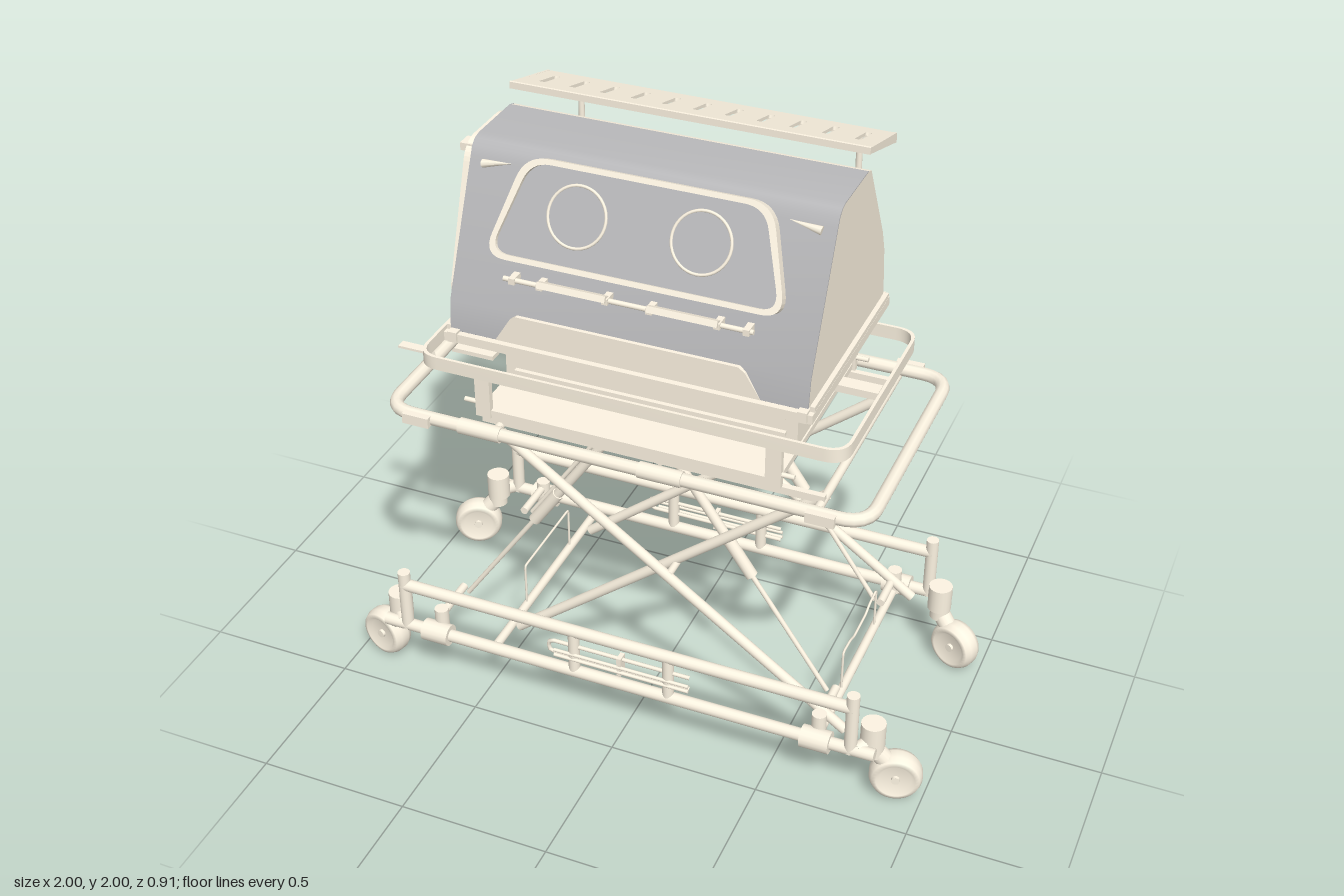
import * as THREE from 'three';
import { toCreasedNormals } from 'three/addons/utils/BufferGeometryUtils.js';

const V = (x, y, z) => new THREE.Vector3(x, y, z);
const paint = (c) => new THREE.MeshStandardMaterial({ color: c });

export function createModel() {
  const model = new THREE.Group();
  const cream = paint(0xfdf4e2), grey = paint(0xb8b8ba), dark = paint(0x9a978f);

  const add = (name, geo, mat = cream, parent = model) => {
    const m = new THREE.Mesh(geo, mat);
    m.name = name;
    parent.add(m);
    return m;
  };
  const box = (name, x, y, z, w, h, d, mat, parent) => {
    const m = add(name, new THREE.BoxGeometry(w, h, d), mat, parent);
    m.position.set(x, y, z);
    return m;
  };
  // straight bar between two points
  const rod = (name, a, b, r, mat, parent) => {
    const m = add(name, new THREE.CylinderGeometry(r, r, a.distanceTo(b), 16), mat, parent);
    m.position.copy(a).lerp(b, 0.5);
    m.quaternion.setFromUnitVectors(V(0, 1, 0), b.clone().sub(a).normalize());
    return m;
  };
  // bent tube through points, corners rounded by r
  const bent = (name, pts, rad, r, closed = false, seg = 60) => {
    const path = new THREE.CurvePath(), n = pts.length;
    const near = (p, q) => p.clone().add(q.clone().sub(p).setLength(r));
    let last = closed ? near(pts[0], pts[1]) : pts[0];
    for (let i = 1; i < (closed ? n + 1 : n - 1); i++) {
      const p = pts[i % n], a = near(p, pts[(i - 1) % n]), b = near(p, pts[(i + 1) % n]);
      path.add(new THREE.LineCurve3(last, a));
      path.add(new THREE.QuadraticBezierCurve3(a, p, b));
      last = b;
    }
    if (!closed) path.add(new THREE.LineCurve3(last, pts[n - 1]));
    return add(name, new THREE.TubeGeometry(path, seg, rad, 10, closed));
  };
  // polygon with rounded corners
  const rounded = (pts, r, Kind = THREE.Shape) => {
    const s = new Kind(), P = pts.map(([x, y]) => new THREE.Vector2(x, y)), n = P.length;
    P.forEach((p, i) => {
      const a = p.clone().add(P[(i + n - 1) % n].clone().sub(p).setLength(r));
      const b = p.clone().add(P[(i + 1) % n].clone().sub(p).setLength(r));
      i ? s.lineTo(a.x, a.y) : s.moveTo(a.x, a.y);
      s.quadraticCurveTo(p.x, p.y, b.x, b.y);
    });
    s.closePath();
    return s;
  };
  const rect = (w, h) => [[-w, -h], [w, -h], [w, h], [-w, h]];
  const slab = (shape, depth) => new THREE.ExtrudeGeometry(shape, { depth, bevelEnabled: false, curveSegments: 8 });
  // extrude a (z, y) profile along x, softening shallow edges
  const alongX = (pts, x0, x1) => toCreasedNormals(slab(new THREE.Shape(pts.map(([z, y]) => new THREE.Vector2(-z, y))), x1 - x0)
    .rotateY(Math.PI / 2).translate(x0, 0, 0), 0.6);

  // hood: solid body with grey window skin over front, top and one end
  const front = [[0.348, 1.378], [0.335, 1.475], [0.155, 1.873], [0.142, 1.9], [0.122, 1.917], [0.095, 1.923], [-0.11, 1.923]];
  const profile = [...front, [-0.135, 1.915], [-0.295, 1.63], [-0.322, 1.56], [-0.336, 1.48], [-0.345, 1.378]];
  add('hoodBody', alongX(profile, -0.575, 0.57), cream);
  const skin = front.map(([z, y]) => [z + 0.004, y + 0.003]);
  add('hoodWindow', alongX([...skin, ...front.slice().reverse()], -0.575, 0.57), grey);
  add('hoodEndWindow', alongX(profile, -0.58, -0.575), grey);

  // framed access doors
  const door = (name, pts, holes, r, depth) => {
    const g = new THREE.Group();
    g.name = name;
    const cy = pts.reduce((s, p) => s + p[1], 0) / pts.length;
    const inner = pts.map(([x, y]) => [x - Math.sign(x) * 0.02, y - Math.sign(y - cy) * 0.016]);
    const ring = rounded(pts, r);
    ring.holes.push(rounded(inner, r * 0.85, THREE.Path));
    add('doorFrame', slab(ring, depth), cream, g);
    add('doorPane', slab(rounded(inner, r * 0.85), depth * 0.6), grey, g);
    for (const [x, y] of holes) {
      add('portholeRim', new THREE.TorusGeometry(0.092, 0.005, 8, 40), cream, g).position.set(x, y, depth * 0.6 + 0.002);
      add('portholeCover', new THREE.CylinderGeometry(0.09, 0.09, 0.006, 40).rotateX(Math.PI / 2), grey, g).position.set(x, y, depth * 0.6);
    }
    model.add(g);
    return g;
  };
  const tilt = 0.431;
  const frontDoor = door('frontDoor', [[-0.475, -0.155], [0.475, -0.155], [0.385, 0.16], [-0.385, 0.16]],
    [[-0.2, 0.01], [0.19, 0.01]], 0.075, 0.034);
  frontDoor.position.set(0, 1.765, 0.215);
  frontDoor.rotation.x = -tilt;
  const endDoor = door('endDoor', [[-0.29, -0.225], [0.29, -0.225], [0.13, 0.23], [-0.13, 0.23]], [[0, 0]], 0.06, 0.03);
  endDoor.position.set(-0.578, 1.675, 0);
  endDoor.rotation.y = -Math.PI / 2;
  for (const y of [1.46, 1.88]) box('endDoorHinge', -0.605, y, 0.1, 0.05, 0.025, 0.05);

  // door catches
  rod('latchBar', V(-0.4, 1.585, 0.325), V(0.39, 1.585, 0.325), 0.008);
  for (const s of [-1, 1]) {
    box('latchPaddle', s * 0.175, 1.59, 0.328, 0.22, 0.02, 0.034).rotation.x = -tilt;
    for (const x of [0.07, 0.28, 0.37]) box('latchBlock', s * x, 1.585, 0.315, 0.02, 0.02, 0.045);
    const clip = add('cornerClip', new THREE.ConeGeometry(0.014, 0.1, 8), cream);
    clip.position.set(s * 0.48, 1.875, 0.175);
    clip.rotation.z = s * 1.4;
  }

  // front and back sills, tray
  const sill = (w, t, h) => slab(new THREE.Shape([[-w, 0], [w, 0], [t + 0.02, h - 0.015], [t, h], [-t, h], [-t - 0.02, h - 0.015]]
    .map(p => new THREE.Vector2(...p))), 0.04);
  add('frontSill', sill(0.425, 0.355, 0.095)).position.set(0, 1.38, 0.312);
  add('backSill', sill(0.17, 0.12, 0.095)).position.set(0, 1.38, -0.36);
  box('tray', 0, 1.364, 0.01, 1.18, 0.03, 0.72);
  for (const s of [-1, 1]) {
    box('traySideLip', s * 0.582, 1.386, 0.005, 0.015, 0.02, 0.69);
    for (const z of [0.36, -0.34]) box('trayClip', s * 0.56, 1.37, z, 0.03, 0.035, 0.035);
  }

  // rear roll with hanging straps
  rod('rearRoll', V(-0.38, 1.695, -0.283), V(0.38, 1.695, -0.283), 0.03);
  for (const s of [-1, 1]) bent('rearStrap', [V(s * 0.29, 1.69, -0.285), V(s * 0.29, 1.57, -0.34), V(s * 0.29, 1.39, -0.35)], 0.009, 0.04, false, 20);

  // slotted canopy with turned-down edges on two poles
  const canopy = new THREE.Shape([[-0.58, 0], [0.57, 0], [0.57, 0.264], [-0.58, 0.264]].map(p => new THREE.Vector2(...p)));
  for (let i = 0; i < 11; i++) {
    const x = -0.51 + i * 0.1015;
    canopy.holes.push(rounded([[x - 0.01, 0.075], [x + 0.01, 0.075], [x + 0.01, 0.195], [x - 0.01, 0.195]], 0.009, THREE.Path));
  }
  const roof = add('canopy', slab(canopy, 0.01).rotateX(-Math.PI / 2));
  roof.position.set(0, 1.985, -0.118);
  roof.rotation.x = -0.268;
  const flange = [[-0.118, 1.995], [-0.377, 1.925], [-0.377, 1.893], [-0.118, 1.975]].reverse();
  for (const x of [-0.58, 0.562]) add('canopySideLip', alongX(flange, x, x + 0.008));
  box('canopyFrontLip', -0.005, 1.985, -0.118, 1.15, 0.022, 0.008);
  box('canopyBackLip', -0.005, 1.908, -0.374, 1.15, 0.03, 0.008);
  for (const s of [-1, 1]) {
    rod('canopyPole', V(s * 0.46, 1.08, -0.367), V(s * 0.46, 1.91, -0.367), 0.01);
    for (const y of [1.14, 1.2, 1.26]) box('poleClamp', s * 0.46, y, -0.37, 0.03, 0.02, 0.03);
  }

  // pedestal under the hood
  box('pedestal', 0, 1.235, 0, 0.97, 0.24, 0.36);
  box('upperPedestal', 0, 1.32, 0, 1.0, 0.06, 0.36);
  box('deck', 0, 1.11, 0, 0.98, 0.022, 0.72);
  box('deckUnderside', 0, 1.095, 0, 0.94, 0.012, 0.66, dark);
  for (const y of [1.165, 1.225]) box('pedestalRib', 0, y, 0.185, 0.9, 0.012, 0.02);
  const band = rounded(rect(0.695, 0.36), 0.07);
  band.holes.push(rounded(rect(0.685, 0.35), 0.065, THREE.Path));
  add('bumperBand', toCreasedNormals(slab(band, 0.045).rotateX(-Math.PI / 2), 0.6)).position.set(0, 1.232, 0.01);
  for (const s of [-1, 1]) {
    for (const z of [-0.335, 0.355]) {
      box('bandPost', s * 0.475, 1.175, z, 0.05, 0.16, 0.02);
      rod('bandKnob', V(s * 0.475, 1.14, z), V(s * 0.54, 1.14, z), 0.008);
    }
    box('bandBracket', s * 0.58, 1.255, 0, 0.2, 0.025, 0.05);
  }

  // upper stretcher frame
  const corners = (x, y, z) => [V(-x, y, -z), V(x, y, -z), V(x, y, z), V(-x, y, z)];
  bent('upperFrame', corners(0.785, 1.08, 0.415), 0.022, 0.09, true, 200);
  for (const x of [-0.43, 0.62]) rod('legCrossTube', V(x, 1.06, -0.41), V(x, 1.06, 0.41), 0.014);
  for (const s of [-1, 1]) {
    for (const x of [-0.46, 0.14]) rod('upperCollar', V(x - 0.07, 1.08, s * 0.415), V(x + 0.07, 1.08, s * 0.415), 0.026);
    for (const x of [-0.67, 0.65]) box('sideStop', x, 1.08, s * 0.435, 0.09, 0.035, 0.03);
    box('slideRail', 0.07, 1.075, s * 0.335, 1.12, 0.025, 0.02);
  }
  box('sidePlate', -0.7, 1.06, -0.11, 0.15, 0.015, 0.24);
  box('controlBox', -0.46, 1.045, -0.11, 0.22, 0.02, 0.24);
  box('leverTop', -0.82, 1.143, 0.16, 0.11, 0.008, 0.032);
  box('leverArm', -0.762, 1.122, 0.16, 0.008, 0.05, 0.032).rotation.z = 0.25;
  box('leverFoot', -0.69, 1.1, 0.16, 0.13, 0.008, 0.032);

  // scissor legs and lift struts
  for (const s of [-1, 1]) {
    rod('outerLeg', V(-0.42, 1.045, s * 0.355), V(0.74, 0.22, s * 0.355), 0.017);
    rod('innerLeg', V(0.62, 1.055, s * 0.285), V(-0.43, 0.21, s * 0.285), 0.017);
    for (const m of [-1, 1]) {
      const top = V(m * 0.09, 1.06, s * 0.245), end = V(m * 0.64, 0.26, s * 0.245);
      rod('strutSleeve', top, top.clone().lerp(end, 0.52), 0.016);
      rod('strutCollar', top.clone().lerp(end, 0.36), top.clone().lerp(end, 0.52), 0.02);
      rod('strutRod', top, end, 0.008);
      rod('strutMount', V(m * 0.665, 0.265, s * 0.23), V(m * 0.665, 0.265, s * 0.4), 0.014);
    }
    rod('legPivot', V(0.14, 0.655, s * 0.285), V(0.14, 0.655, s * 0.355), 0.012);
  }
  for (const x of [-0.1, 0.1]) rod('strutCrossTube', V(x, 1.06, -0.33), V(x, 1.06, 0.33), 0.014);

  // lower base frame with guard rails and hose racks
  for (const s of [-1, 1]) {
    const z = s * 0.42;
    rod('baseRail', V(-0.86, 0.21, z), V(0.86, 0.21, z), 0.021);
    rod('guardRail', V(-0.785, 0.378, z), V(0.785, 0.378, z), 0.021);
    for (const m of [-1, 1]) {
      rod('cornerPost', V(m * 0.78, 0.2, z), V(m * 0.78, 0.43, z), 0.021);
      rod('guardPost', V(m * 0.165, 0.21, z), V(m * 0.165, 0.378, z), 0.019);
      rod('railCollar', V(m * 0.62, 0.21, z), V(m * 0.715, 0.21, z), 0.037);
      rod('collarBoss', V(m * 0.665, 0.2, s * 0.39), V(m * 0.665, 0.29, s * 0.39), 0.024);
    }
    for (const y of [0.29, 0.27]) rod('rackBar', V(-0.23, y, z + s * 0.015), V(0.24, y, z + s * 0.015), 0.006);
    bent('rackLoop', [V(0.24, 0.315, z), V(-0.255, 0.315, z), V(-0.255, 0.27, z), V(0.24, 0.27, z)], 0.007, 0.018);
    box('rackClip', 0, 0.292, z, 0.015, 0.07, 0.035);
  }
  for (const x of [-0.46, 0.665]) rod('baseCrossTube', V(x, 0.205, -0.41), V(x, 0.205, 0.41), 0.015);

  // bottle hoops
  bent('squareHoop', [V(-0.46, 0.205, -0.17), V(-0.46, 0.37, -0.17), V(-0.46, 0.37, 0.17), V(-0.46, 0.205, 0.17)], 0.004, 0.01);
  const wave = [[-0.17, 0.21], [-0.17, 0.365], [-0.1, 0.36], [-0.06, 0.345], [0.06, 0.345], [0.1, 0.36], [0.17, 0.365], [0.17, 0.21]];
  bent('wavyHoop', wave.map(([z, y]) => V(0.665, y, z)), 0.004, 0.012);

  // swivel casters
  for (const sx of [-1, 1]) for (const sz of [-1, 1]) {
    const c = new THREE.Group();
    c.name = 'caster';
    c.position.set(sx * 0.835, 0, sz * 0.365);
    c.rotation.y = sx * sz * (sz > 0 ? 0.27 : 0.4) + (sx < 0 ? Math.PI : 0);
    add('casterHousing', new THREE.CylinderGeometry(0.04, 0.04, 0.09, 20), cream, c).position.set(0, 0.245, 0);
    add('casterSwivel', new THREE.CylinderGeometry(0.034, 0.034, 0.04, 20), cream, c).position.set(0.005, 0.185, 0);
    const tyre = [[0, -0.026], [0.05, -0.026], [0.062, -0.038], [0.076, -0.034], [0.085, -0.015], [0.085, 0.015], [0.076, 0.034], [0.062, 0.038], [0.05, 0.026], [0, 0.026]];
    add('casterWheel', new THREE.LatheGeometry(tyre.map(p => new THREE.Vector2(...p)), 32).rotateX(Math.PI / 2), cream, c).position.set(0.08, 0.085, 0);
    rod('casterAxle', V(0.08, 0.085, -0.036), V(0.08, 0.085, 0.036), 0.014, cream, c);
    rod('casterStem', V(0.01, 0.18, 0), V(0.05, 0.135, 0), 0.03, cream, c);
    model.add(c);
    rod('casterArm', V(sx * 0.835, 0.22, sz * 0.365), V(sx * 0.8, 0.21, sz * 0.42), 0.024);
  }
  return model;
}
